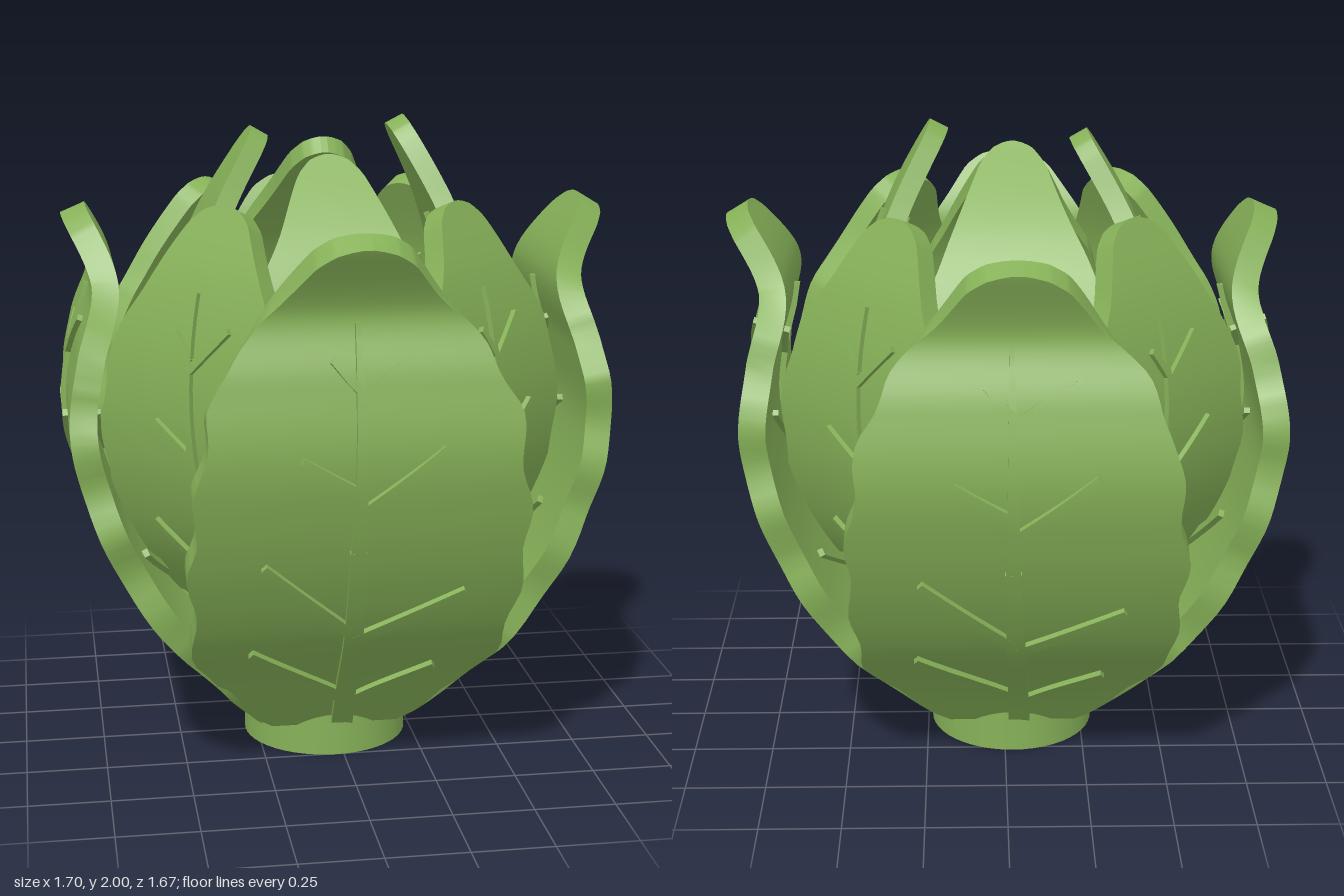
import * as THREE from 'three';
import { mergeGeometries } from 'three/addons/utils/BufferGeometryUtils.js';
import { ParametricGeometry } from 'three/addons/geometries/ParametricGeometry.js';

const BASE_Y = 0.12;
const REF_HEIGHT = 1.62;

// Half-width of a leaf against its height fraction
const OUTLINE = [[0, 0.2], [0.05, 0.28], [0.1, 0.36], [0.2, 0.465], [0.3, 0.475], [0.42, 0.49], [0.55, 0.475],
  [0.7, 0.44], [0.8, 0.36], [0.87, 0.265], [0.92, 0.195], [0.96, 0.14], [0.985, 0.085], [0.995, 0.045], [1, 0.015]];

function halfWidth(t) {
  let i = 1;
  while (i < OUTLINE.length - 1 && t > OUTLINE[i][0]) i++;
  const [t0, w0] = OUTLINE[i - 1], [t1, w1] = OUTLINE[i];
  return w0 + (w1 - w0) * (t - t0) / (t1 - t0);
}

// Veins as x0, y0, x1, y1, half-width at start, half-width at end
const VEINS = [
  [0.02, 0.13, -0.01, 0.85, 0.034, 0.024], [-0.01, 0.85, -0.015, 1.5, 0.022, 0.007],
  [0.02, 0.24, 0.27, 0.4, 0.02, 0.011], [0, 0.27, -0.3, 0.49, 0.02, 0.011],
  [0.01, 0.53, 0.32, 0.7, 0.019, 0.011], [-0.01, 0.56, -0.28, 0.81, 0.019, 0.011],
  [-0.01, 0.97, 0.23, 1.15, 0.016, 0.01], [-0.01, 1.03, -0.18, 1.13, 0.016, 0.01],
  [-0.01, 1.29, 0.16, 1.41, 0.014, 0.009], [-0.01, 1.31, -0.09, 1.39, 0.014, 0.009],
];

// Leaf profiles: radius at nine even heights
const OUTER = [0.2, 0.355, 0.53, 0.65, 0.73, 0.772, 0.745, 0.695, 0.785];
const MIDDLE = [0.12, 0.18, 0.34, 0.485, 0.57, 0.605, 0.595, 0.545, 0.455];
const INNER = [0.1, 0.16, 0.27, 0.37, 0.43, 0.45, 0.42, 0.34, 0.22];

// Maps leaf coordinates (across x, height fraction t, depth d) onto the curved profile
function makeBend(radii, top, curl) {
  const curve = new THREE.SplineCurve(radii.map((r, i) => {
    const f = i / (radii.length - 1);
    const bend = curl * Math.max(0, 2 * f - 1) ** 3;
    return new THREE.Vector2(r + bend, BASE_Y + (top - BASE_Y) * f);
  }));
  return (x, t, d, target) => {
    const tt = THREE.MathUtils.clamp(t, 0, 1);
    const p = curve.getPoint(tt), n = curve.getTangent(tt);
    target.set(x, p.y - n.x * d, p.x + n.y * d);
  };
}

// Closed slab of six smooth faces; flat(s, t) gives [x, height fraction]
function slab(flat, bend, d0, d1, ns, nt) {
  const face = (pick, a, b) => new ParametricGeometry((u, v, target) => {
    const [s, t, k] = pick(u, v);
    const [x, h] = flat(s * 2 - 1, t);
    bend(x, h, d0 + (d1 - d0) * k, target);
  }, a, b);
  return mergeGeometries([
    face((u, v) => [u, v, 1], ns, nt),
    face((u, v) => [1 - u, v, 0], ns, nt),
    face((u, v) => [1, v, 1 - u], 1, nt),
    face((u, v) => [0, v, u], 1, nt),
    face((u, v) => [u, 1, 1 - v], ns, 1),
    face((u, v) => [u, 0, v], ns, 1),
  ]);
}

function makeLeaf(name, { radii, top, curl = 0, width = 1, thick = 0.08, angle, phase = 0 }, material) {
  const leaf = new THREE.Group();
  leaf.name = name;
  const bend = makeBend(radii, top, curl);

  // Blade with a gently wavy edge, rows packed toward the tip
  const blade = slab((s, v) => {
    const t = 1 - (1 - v) ** 1.6;
    const ripple = 0.013 * Math.sin(t * 38 + phase + s * 0.8) * Math.sin(Math.PI * t);
    return [s * width * (halfWidth(t) + ripple), t];
  }, bend, -thick / 2, thick / 2, 8, 56);
  const bladeMesh = new THREE.Mesh(blade, material);
  bladeMesh.name = 'blade';
  leaf.add(bladeMesh);

  // Veins run through the blade and stand proud on both sides
  const bars = VEINS.map(([x0, y0, x1, y1, w0, w1]) => {
    const len = Math.hypot(x1 - x0, y1 - y0);
    const px = (y1 - y0) / len, py = -(x1 - x0) / len;
    return slab((s, v) => {
      const w = s * (w0 + (w1 - w0) * v);
      const x = x0 + (x1 - x0) * v + px * w, y = y0 + (y1 - y0) * v + py * w;
      return [x * width, (y - BASE_Y) / REF_HEIGHT];
    }, bend, -thick / 2 - 0.018, thick / 2 + 0.016, 1, 10);
  });
  const veins = new THREE.Mesh(mergeGeometries(bars), material);
  veins.name = 'veins';
  leaf.add(veins);

  leaf.rotation.y = angle;
  return leaf;
}

export function createModel() {
  const model = new THREE.Group();
  model.name = 'lettuce';
  const green = new THREE.MeshStandardMaterial({ color: 0x86b158 });
  green.name = 'leaf green';

  const head = new THREE.Group();
  head.name = 'head';
  head.position.set(-0.025, 0, -0.008);
  model.add(head);

  // Stem
  const stem = new THREE.Mesh(new THREE.CylinderGeometry(0.262, 0.262, 0.16, 48), green);
  stem.name = 'stem';
  stem.position.y = 0.08;
  head.add(stem);

  // Three rings of four leaves; order is front, left, back, right
  const outerCurl = [0.025, 0.055, -0.04, -0.01];
  const innerCurl = [-0.14, 0, -0.235, -0.02];
  const innerTop = [1.87, 1.985, 1.91, 1.955];
  for (let i = 0; i < 4; i++) {
    const angle = i * Math.PI / 2;
    head.add(
      makeLeaf('outerLeaf', { radii: OUTER, top: 1.73, curl: outerCurl[i], angle, phase: i }, green),
      makeLeaf('middleLeaf', { radii: MIDDLE, top: 1.76, width: 0.78, thick: 0.07, angle: angle + Math.PI / 4, phase: i + 2 }, green),
      makeLeaf('innerLeaf', { radii: INNER, top: innerTop[i], curl: innerCurl[i], width: 0.7, thick: 0.06, angle, phase: i + 4 }, green),
    );
  }
  return model;
}
